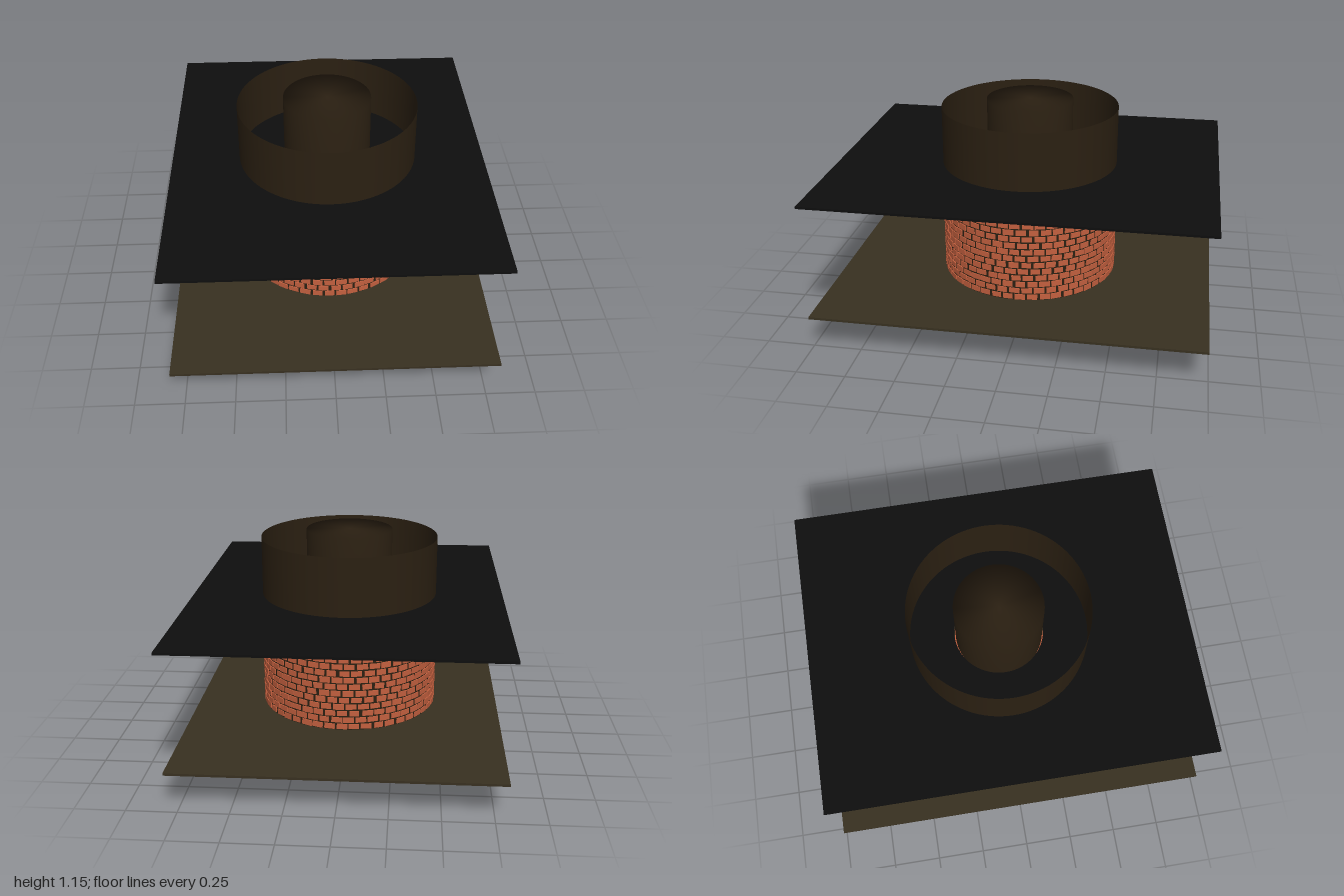
import * as THREE from 'three';
import { mergeGeometries, mergeVertices } from 'three/addons/utils/BufferGeometryUtils.js';

const material = (color, side = THREE.FrontSide) => new THREE.MeshStandardMaterial({ color, side });

// Small seeded generator, returns -1..1
function seeded(seed) {
  let s = seed;
  return () => {
    s = (s * 16807) % 2147483647;
    return (s / 2147483647) * 2 - 1;
  };
}

// Thin horizontal plate with a round hole for the inner column
function plateGeometry(width, depth, thickness, holeRadius) {
  const w = width / 2, d = depth / 2;
  const shape = new THREE.Shape([
    new THREE.Vector2(-w, -d), new THREE.Vector2(w, -d),
    new THREE.Vector2(w, d), new THREE.Vector2(-w, d),
  ]);
  const hole = new THREE.Path();
  hole.absarc(0, 0, holeRadius, 0, Math.PI * 2, true);
  shape.holes.push(hole);
  const geometry = new THREE.ExtrudeGeometry(shape, { depth: thickness, bevelEnabled: false, curveSegments: 48 });
  return geometry.rotateX(-Math.PI / 2);
}

// Running-bond courses of slightly uneven bricks around a cylinder
function brickGeometry(radius, perRow, rows, bottom, top, seed) {
  const random = seeded(seed);
  const pitch = (top - bottom) / rows;
  const step = (Math.PI * 2) / perRow;
  const bricks = [];
  for (let row = 0; row < rows; row++) {
    const shift = (row % 2) * 0.5 + random() * 0.12;
    for (let i = 0; i < perRow; i++) {
      const width = step * radius * (0.83 + random() * 0.08);
      const brick = new THREE.BoxGeometry(width, pitch * (0.78 + random() * 0.06), 0.014);
      brick.rotateZ(random() * 0.05);
      brick.translate(0, bottom + (row + 0.5) * pitch, radius + random() * 0.001);
      brick.rotateY((i + shift + random() * 0.05) * step);
      bricks.push(brick);
    }
  }
  return mergeGeometries(bricks);
}

export function createModel() {
  const group = new THREE.Group();
  const add = (name, geometry, mat, x, y) => {
    const mesh = new THREE.Mesh(geometry, mat);
    mesh.name = name;
    mesh.position.set(x, y, 0);
    group.add(mesh);
  };

  const darkBrown = material(0x2b2012);
  const brick = material(0xc4603f);
  const axis = -0.003;

  // Plates
  add('upperPlate', plateGeometry(1.634, 2, 0.012, 0.233), material(0x0e0e0e), 0, 0.797);
  add('lowerPlate', plateGeometry(1.62, 1.984, 0.012, 0.22), material(0x383020), 0, 0.189);

  // Closed inner column, shaded softly over its rims
  const column = new THREE.CylinderGeometry(0.226, 0.226, 1.15, 64);
  column.deleteAttribute('uv');
  column.deleteAttribute('normal');
  const softColumn = mergeVertices(column);
  softColumn.computeVertexNormals();
  add('innerColumn', softColumn, darkBrown, axis, 0.575);

  // Open outer wall
  const wall = new THREE.CylinderGeometry(0.464, 0.464, 0.926, 96, 1, true);
  add('outerWall', wall, material(0x2b2012, THREE.DoubleSide), axis, 0.189 + 0.463);

  // Brick courses between the plates
  add('outerBricks', brickGeometry(0.462, 46, 16, 0.202, 0.784, 17), brick, axis, 0);
  add('innerBricks', brickGeometry(0.224, 24, 16, 0.202, 0.784, 91), brick, axis, 0);

  return group;
}
